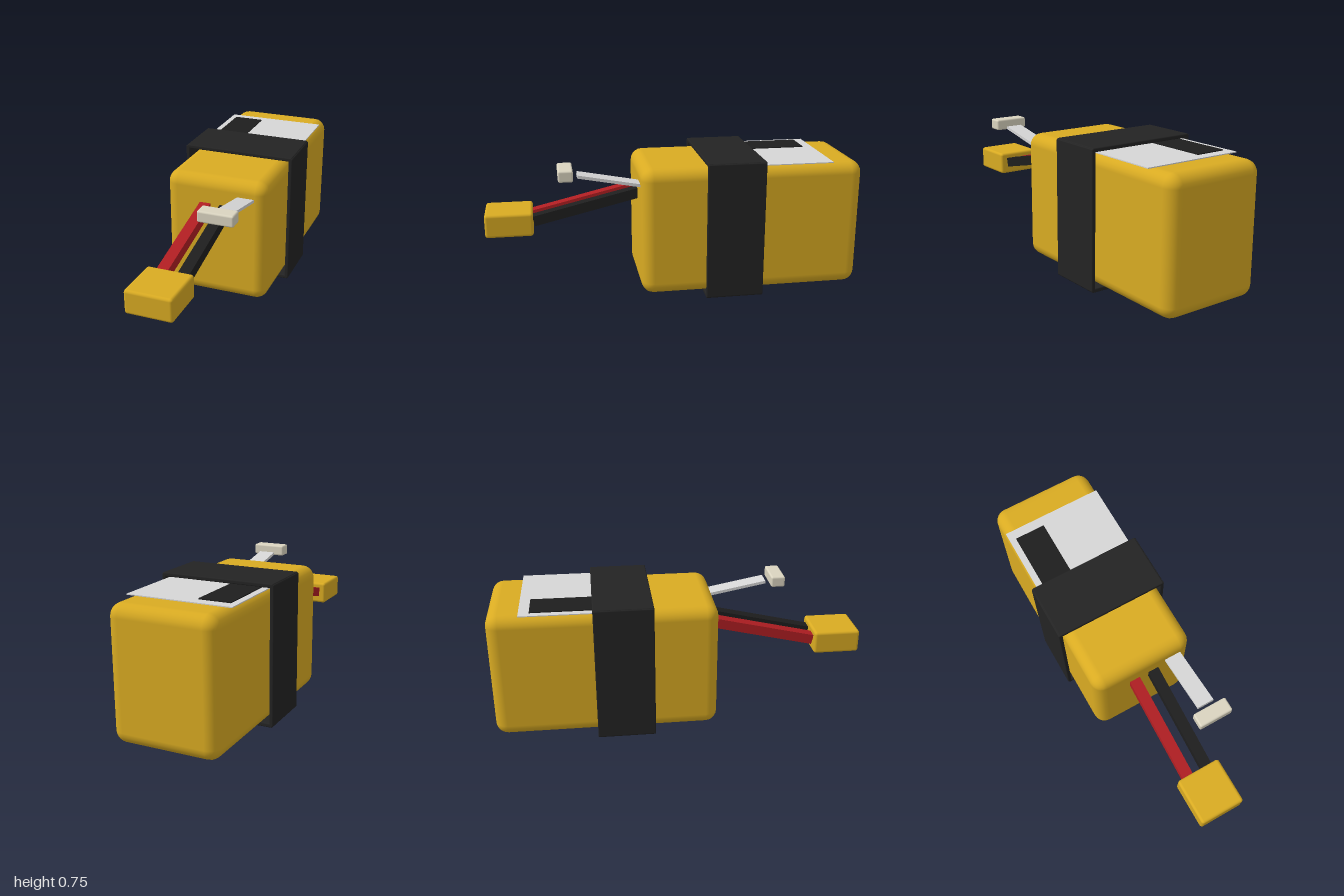
import * as THREE from 'three';
import { RoundedBoxGeometry } from 'three/addons/geometries/RoundedBoxGeometry.js';

const material = (name, color) => {
  const m = new THREE.MeshStandardMaterial({ color });
  m.name = name;
  return m;
};

export function createModel() {
  const yellow = material('yellow', 0xd9ab22);
  const strapBlack = material('strapBlack', 0x232323);
  const black = material('black', 0x1e1e1e);
  const red = material('red', 0xb01e22);
  const silver = material('silver', 0xd6d6d6);
  const cream = material('cream', 0xdad4c0);

  const group = new THREE.Group();
  group.name = 'batteryPack';

  // Box from its limits on each axis; a radius rounds the edges
  const block = (name, mat, [x0, x1], [y0, y1], [z0, z1], radius = 0) => {
    const size = [x1 - x0, y1 - y0, z1 - z0];
    const geometry = radius
      ? new RoundedBoxGeometry(...size, 3, radius)
      : new THREE.BoxGeometry(...size);
    const mesh = new THREE.Mesh(geometry, mat);
    mesh.name = name;
    mesh.position.set((x0 + x1) / 2, (y0 + y1) / 2, (z0 + z1) / 2);
    group.add(mesh);
  };

  // Straight bar running between two [y, z] points
  const bar = (name, mat, x, width, thickness, [y0, z0], [y1, z1]) => {
    const length = Math.hypot(y1 - y0, z1 - z0);
    const mesh = new THREE.Mesh(new THREE.BoxGeometry(width, thickness, length), mat);
    mesh.name = name;
    mesh.position.set(x, (y0 + y1) / 2, (z0 + z1) / 2);
    mesh.rotation.x = -Math.atan2(y1 - y0, z1 - z0);
    group.add(mesh);
  };

  // Main pack
  block('body', yellow, [-0.283, 0.283], [0.025, 0.715], [-1, 0.19], 0.065);

  // Strap: four flat bands around the pack
  const strapZ = [-0.46, -0.15];
  block('strapTop', strapBlack, [-0.308, 0.308], [0.725, 0.746], strapZ, 0.006);
  block('strapBottom', strapBlack, [-0.308, 0.308], [0.001, 0.023], strapZ, 0.006);
  for (const [name, s] of [['strapLeft', 1], ['strapRight', -1]]) {
    block(name, strapBlack, [s * 0.302 - 0.011, s * 0.302 + 0.011], [0.006, 0.742], strapZ, 0.006);
  }

  // Label and its dark patch
  block('label', silver, [-0.28, 0.277], [0.716, 0.721], [-0.83, -0.3]);
  block('labelPatch', black, [-0.245, -0.078], [0.721, 0.726], [-0.775, -0.4]);

  // Power leads and plug
  bar('redLead', red, -0.057, 0.06, 0.054, [0.552, 0.15], [0.412, 0.745]);
  bar('blackLead', black, 0.055, 0.06, 0.054, [0.552, 0.15], [0.412, 0.745]);
  block('powerPlug', yellow, [-0.123, 0.123], [0.342, 0.468], [0.748, 1], 0.015);

  // Flat balance lead and its small plug
  bar('balanceLead', silver, 0.169, 0.092, 0.016, [0.604, 0.1], [0.682, 0.512]);
  block('balancePlug', cream, [0.076, 0.263], [0.667, 0.727], [0.535, 0.612], 0.01);

  return group;
}
